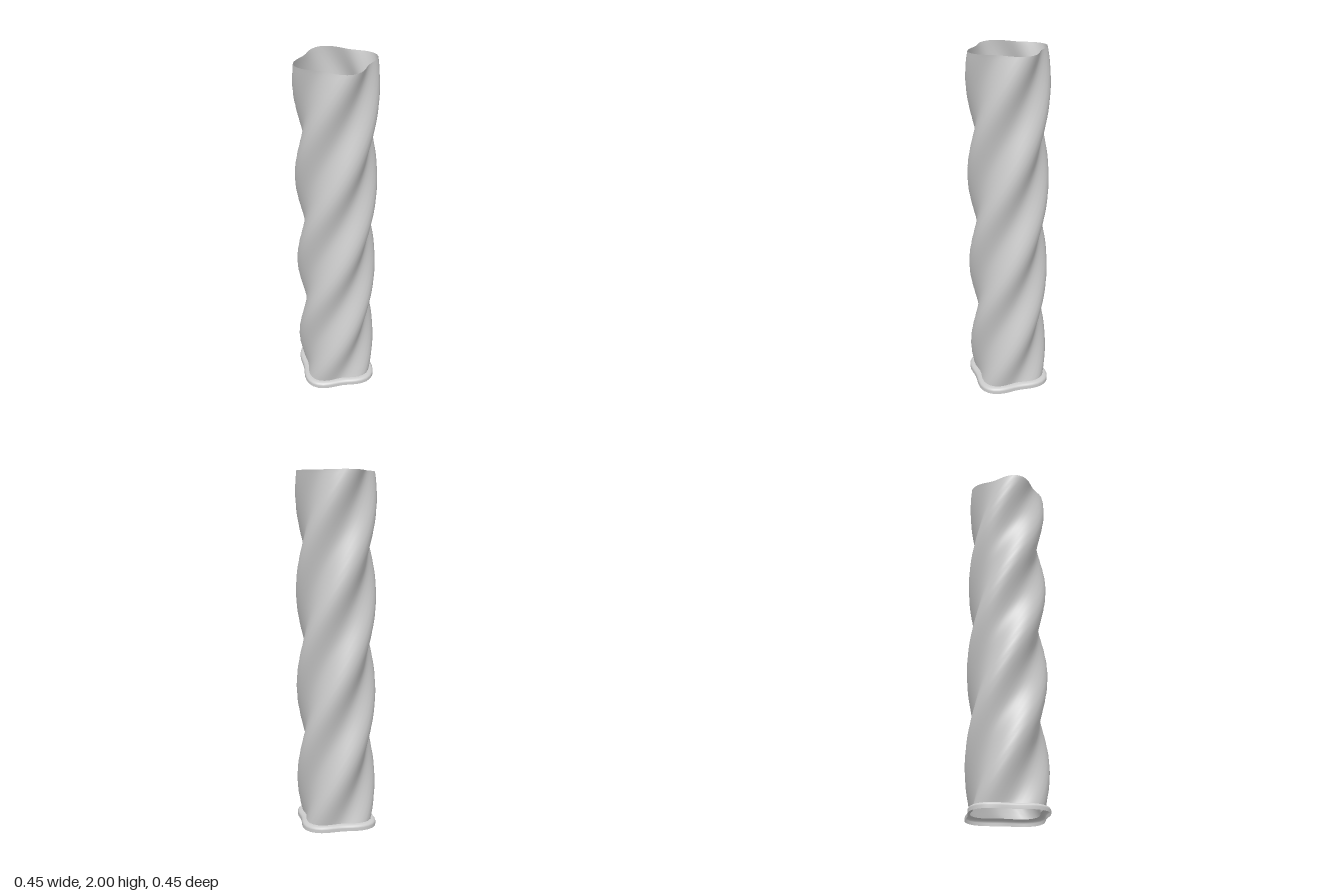
import * as THREE from 'three';
import { mergeVertices } from 'three/addons/utils/BufferGeometryUtils.js';

const LIP_TOP = 0.035;
const TWIST_RATE = (Math.PI / 2) / 0.543; // a quarter turn every 0.543 units of height
const MEAN_RADIUS = 0.201;
const LOBE_DEPTH = 0.024;

// Four-lobed shell: each row gets a height, an outward offset and a twist.
function lobedShell(rows, rowAt) {
  const geo = new THREE.CylinderGeometry(1, 1, 1, 48, rows, true);
  geo.deleteAttribute('normal');
  geo.deleteAttribute('uv');
  const pos = geo.attributes.position;
  for (let i = 0; i < pos.count; i++) {
    const a = Math.atan2(pos.getX(i), pos.getZ(i));
    const { y, offset, twist } = rowAt(pos.getY(i) + 0.5);
    const r = MEAN_RADIUS + LOBE_DEPTH * Math.cos(4 * a) + offset;
    const angle = a + Math.PI / 4 + twist;
    pos.setXYZ(i, r * Math.sin(angle), y, r * Math.cos(angle));
  }
  const welded = mergeVertices(geo, 1e-5);
  welded.computeVertexNormals();
  return welded;
}

export function createModel() {
  const group = new THREE.Group();
  const material = new THREE.MeshStandardMaterial({ color: 0xcccccc, side: THREE.DoubleSide });

  const add = (name, geo) => {
    const mesh = new THREE.Mesh(geo, material);
    mesh.name = name;
    group.add(mesh);
  };

  // Open twisted tube
  add('twistedTube', lobedShell(96, (t) => {
    const y = THREE.MathUtils.lerp(LIP_TOP, 2, t);
    return { y, offset: 0, twist: (y - LIP_TOP) * TWIST_RATE };
  }));

  // Hollow base lip: a short upright wall that rounds inward to meet the tube
  const wall = 0.017;
  add('baseLip', lobedShell(6, (t) => {
    const k = Math.max(0, (t - 1 / 6) * 6 / 5) * Math.PI / 2;
    return {
      y: t < 0.1 ? 0 : wall + (LIP_TOP - wall) * Math.sin(k),
      offset: 0.029 * Math.cos(k),
      twist: 0,
    };
  }));

  return group;
}
